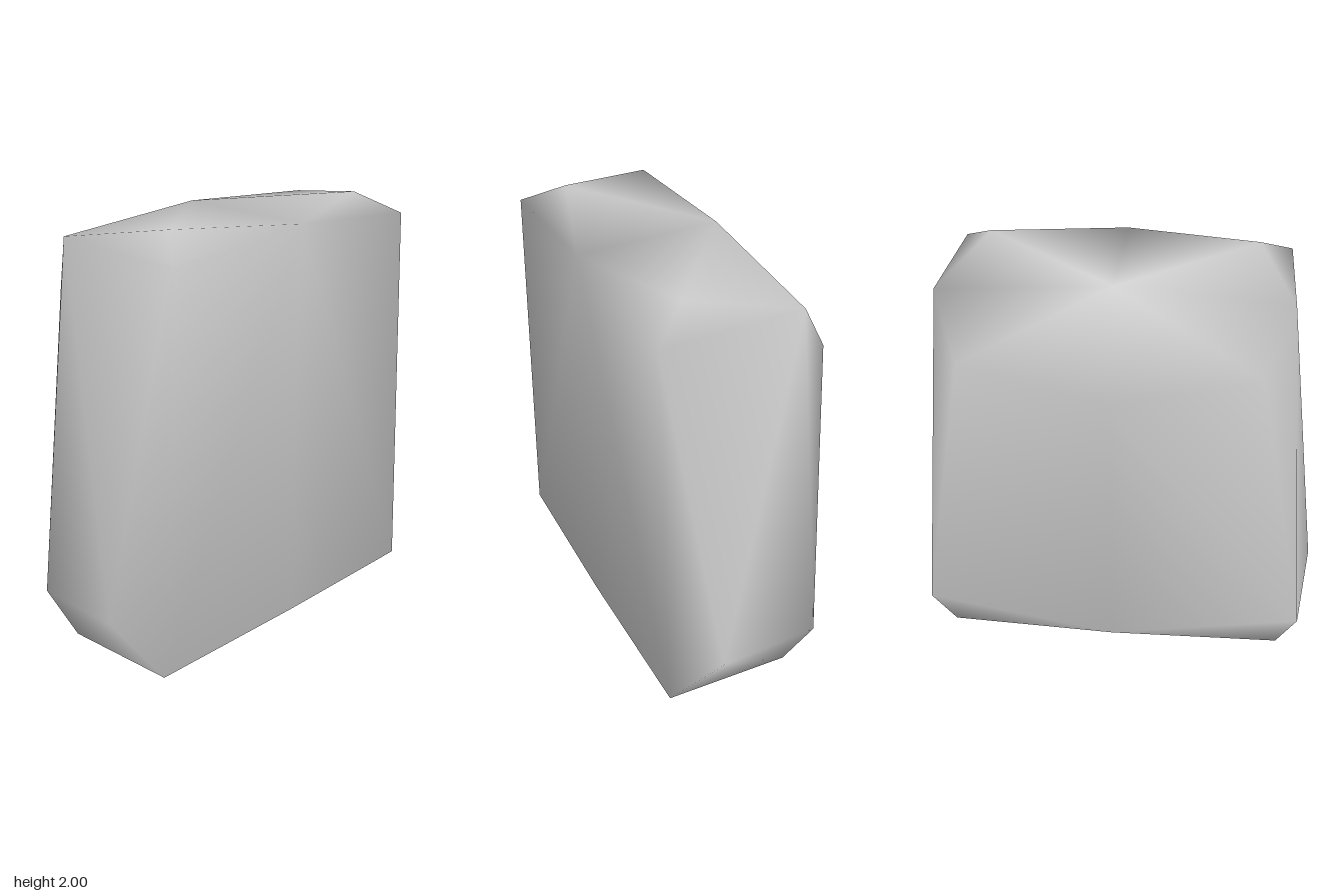
import * as THREE from 'three';

// Half of the block's corner points (x >= 0); the other half is mirrored
const POINTS = {
  frontTopMid: [0, 1.96, 0.44], frontTop: [0.76, 1.9, 0.42],
  frontLowMid: [0, 0.09, 0.42], frontLow: [0.84, 0.09, 0.41],
  crown: [0.61, 2, 0.25], rearTopMid: [0, 1.98, -0.22], rearTop: [0.77, 1.93, -0.22],
  backMid: [0, 1.53, -0.44], back: [0.66, 1.66, -0.39],
  backLowMid: [0, 0.13, -0.31], sideRear: [0.9, 0.28, -0.3], side: [0.96, 0.32, 0.2],
  baseRear: [0.81, 0.055, -0.2], baseMid: [0, 0, 0],
};

const FACES = [
  // front
  'frontTopMid frontLowMid frontLow', 'frontTopMid frontLow frontTop',
  // top
  'frontTopMid frontTop crown', 'frontTopMid crown rearTopMid',
  'rearTopMid crown rearTop', 'frontTop rearTop crown',
  // side
  'frontTop frontLow side', 'frontTop side rearTop',
  'rearTop side sideRear', 'rearTop sideRear back',
  // back
  'rearTopMid rearTop back', 'rearTopMid back backMid',
  'backMid back sideRear', 'backMid sideRear backLowMid',
  // underside
  'side baseRear sideRear', 'side frontLow baseRear',
  'sideRear baseRear backLowMid', 'backLowMid baseRear baseMid',
  'baseMid baseRear frontLow', 'baseMid frontLow frontLowMid',
];

function blockGeometry() {
  const positions = [], ids = {}, index = [];
  const add = (key, p) => { ids[key] = positions.length / 3; positions.push(...p); };
  for (const [name, [x, y, z]] of Object.entries(POINTS)) {
    add(name + 1, [x, y, z]);
    if (x > 0) add(name + -1, [-x, y, z]);
    else ids[name + -1] = ids[name + 1];
  }
  const point = (i) => new THREE.Vector3().fromArray(positions, i * 3);
  const centre = new THREE.Vector3(0, 1, 0);
  for (const face of FACES) {
    for (const s of [1, -1]) {
      const [a, b, c] = face.split(' ').map((n) => ids[n + s]);
      // turn every face outwards
      const normal = point(b).sub(point(a)).cross(point(c).sub(point(a)));
      const out = point(a).add(point(b)).add(point(c)).divideScalar(3).sub(centre);
      index.push(...(normal.dot(out) > 0 ? [a, b, c] : [a, c, b]));
    }
  }
  const geometry = new THREE.BufferGeometry();
  geometry.setAttribute('position', new THREE.Float32BufferAttribute(positions, 3));
  geometry.setIndex(index);
  geometry.computeVertexNormals();
  return geometry;
}

export function createModel() {
  const group = new THREE.Group();
  group.name = 'taperedBlock';
  const grey = new THREE.MeshStandardMaterial({ color: 0xcccccc });
  grey.name = 'light grey';
  const block = new THREE.Mesh(blockGeometry(), grey);
  block.name = 'block';
  group.add(block);
  return group;
}
